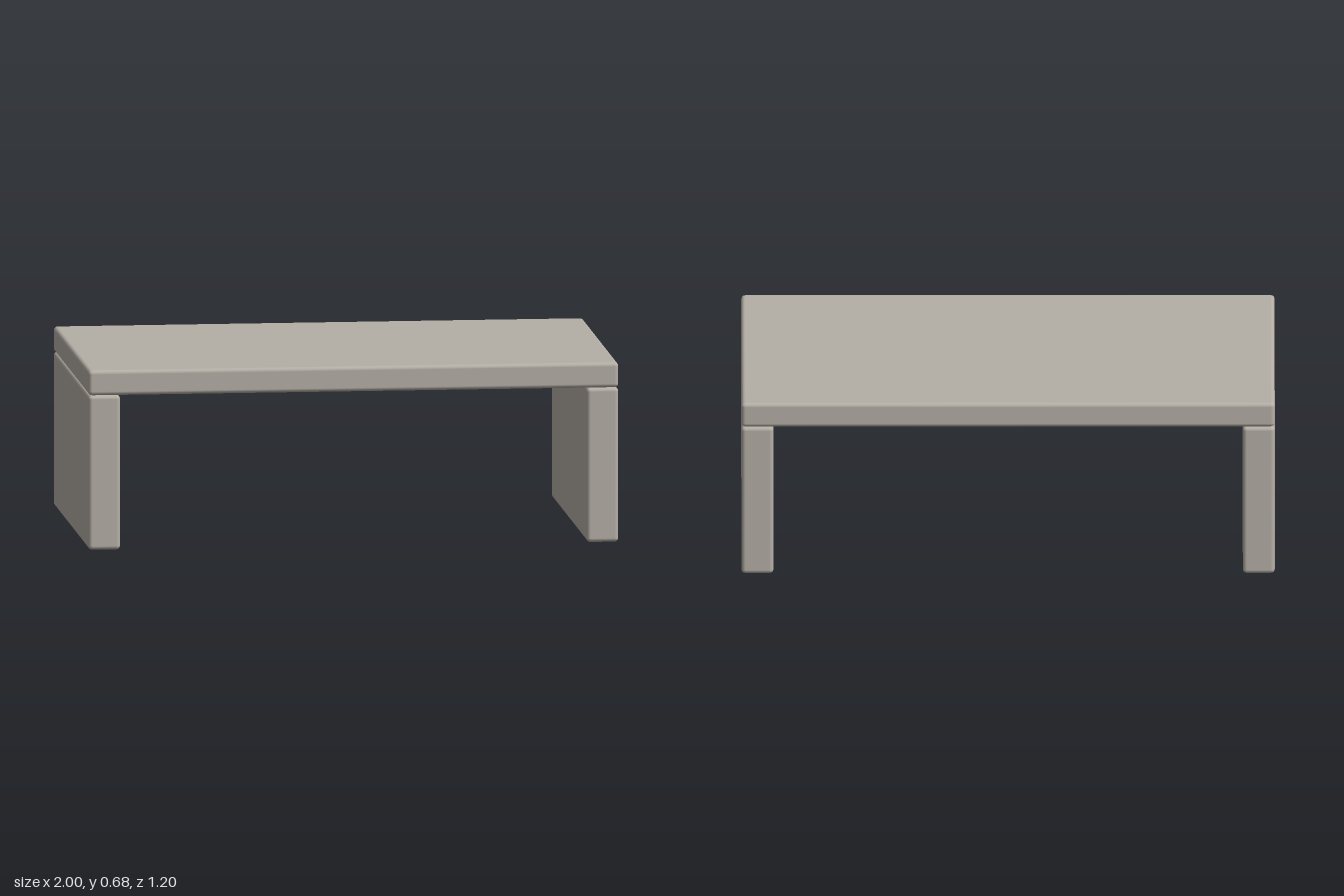
import * as THREE from 'three';
import { RoundedBoxGeometry } from 'three/addons/geometries/RoundedBoxGeometry.js';

const DEPTH = 1.2, HEIGHT = 0.68, LEG_HEIGHT = 0.585, LEG_WIDTH = 0.12, BEVEL = 0.015;

export function createModel() {
  const group = new THREE.Group();
  group.name = 'slabTable';
  const stone = new THREE.MeshStandardMaterial({ color: 0xb5afa6 });
  stone.name = 'warm grey stone';

  // Softly rounded slab resting on height y
  const slab = (name, width, height, x, y) => {
    const mesh = new THREE.Mesh(new RoundedBoxGeometry(width, height, DEPTH, 4, BEVEL), stone);
    mesh.name = name;
    mesh.position.set(x, y + height / 2, 0);
    group.add(mesh);
  };

  // Table top
  slab('tableTop', 2, HEIGHT - LEG_HEIGHT, 0, LEG_HEIGHT);

  // Full-depth slab legs, flush with the ends of the top
  for (const side of [-1, 1]) {
    slab(side > 0 ? 'leftLeg' : 'rightLeg', LEG_WIDTH, LEG_HEIGHT, side * (1 - LEG_WIDTH / 2), 0);
  }
  return group;
}
